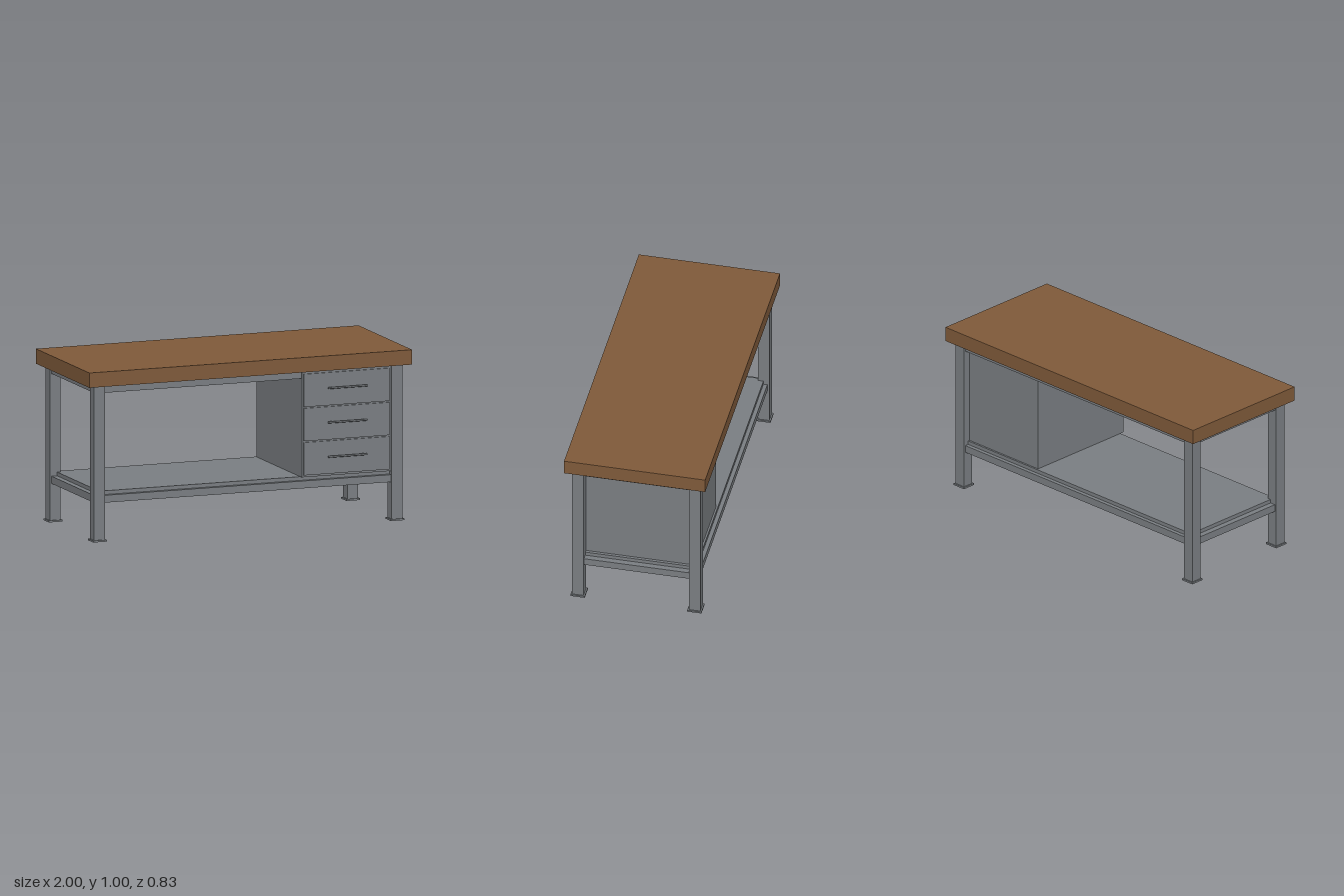
import * as THREE from 'three';

export function createModel() {
  const bench = new THREE.Group();
  bench.name = 'workbench';
  const wood = new THREE.MeshStandardMaterial({ color: 0x7f5a3a });
  wood.name = 'brown wood';
  const steel = new THREE.MeshStandardMaterial({ color: 0x7a7e82 });
  steel.name = 'grey steel';

  // Box given by its lower and upper limits on each axis
  function box(name, [x0, x1], [y0, y1], [z0, z1], material = steel, parent = bench) {
    const mesh = new THREE.Mesh(new THREE.BoxGeometry(x1 - x0, y1 - y0, z1 - z0), material);
    mesh.position.set((x0 + x1) / 2, (y0 + y1) / 2, (z0 + z1) / 2);
    mesh.name = name;
    parent.add(mesh);
    return mesh;
  }
  const around = (centre, width) => [centre - width / 2, centre + width / 2];

  box('worktop', [-1, 1], [0.913, 1], [-0.416, 0.416], wood);

  // Legs with foot plates
  const legX = 0.922, legZ = 0.344, legWidth = 0.067;
  for (const sx of [-1, 1]) {
    for (const sz of [-1, 1]) {
      box('leg', around(sx * legX, legWidth), [0.01, 0.913], around(sz * legZ, legWidth));
      box('footPlate', around(sx * legX, 0.084), [0, 0.01], around(sz * legZ, 0.084));
    }
  }

  // Upper and lower rail frames between the legs
  const innerX = legX - legWidth / 2, innerZ = legZ - legWidth / 2;
  for (const [name, y] of [['upperRail', [0.868, 0.913]], ['lowerRail', [0.225, 0.268]]]) {
    for (const s of [-1, 1]) {
      box(name, [-innerX, innerX], y, around(s * legZ, 0.045));
      box(name, around(s * legX, 0.045), y, [-innerZ, innerZ]);
    }
  }

  box('shelf', [-0.91, 0.91], [0.268, 0.29], [-0.343, 0.343]);

  // Drawer cabinet
  const cabinet = new THREE.Group();
  cabinet.name = 'drawerCabinet';
  bench.add(cabinet);
  box('cabinetBody', [0.335, 0.893], [0.29, 0.908], [-0.332, 0.368], steel, cabinet);

  for (let i = 0; i < 3; i++) {
    const y = 0.302 + i * 0.2;
    const drawer = new THREE.Group();
    drawer.name = 'drawer';
    cabinet.add(drawer);
    box('drawerFront', [0.345, 0.877], [y, y + 0.192], [0.366, 0.376], steel, drawer);

    // Bar handle on two posts
    const handleY = 0.403 + i * 0.201;
    const bar = new THREE.Mesh(new THREE.CylinderGeometry(0.0055, 0.0055, 0.24, 12), steel);
    bar.name = 'handleBar';
    bar.rotation.z = Math.PI / 2;
    bar.position.set(0.611, handleY, 0.39);
    drawer.add(bar);
    for (const s of [-1, 1]) {
      box('handlePost', around(0.611 + s * 0.1, 0.01), around(handleY, 0.009), [0.374, 0.39], steel, drawer);
    }
  }
  return bench;
}
